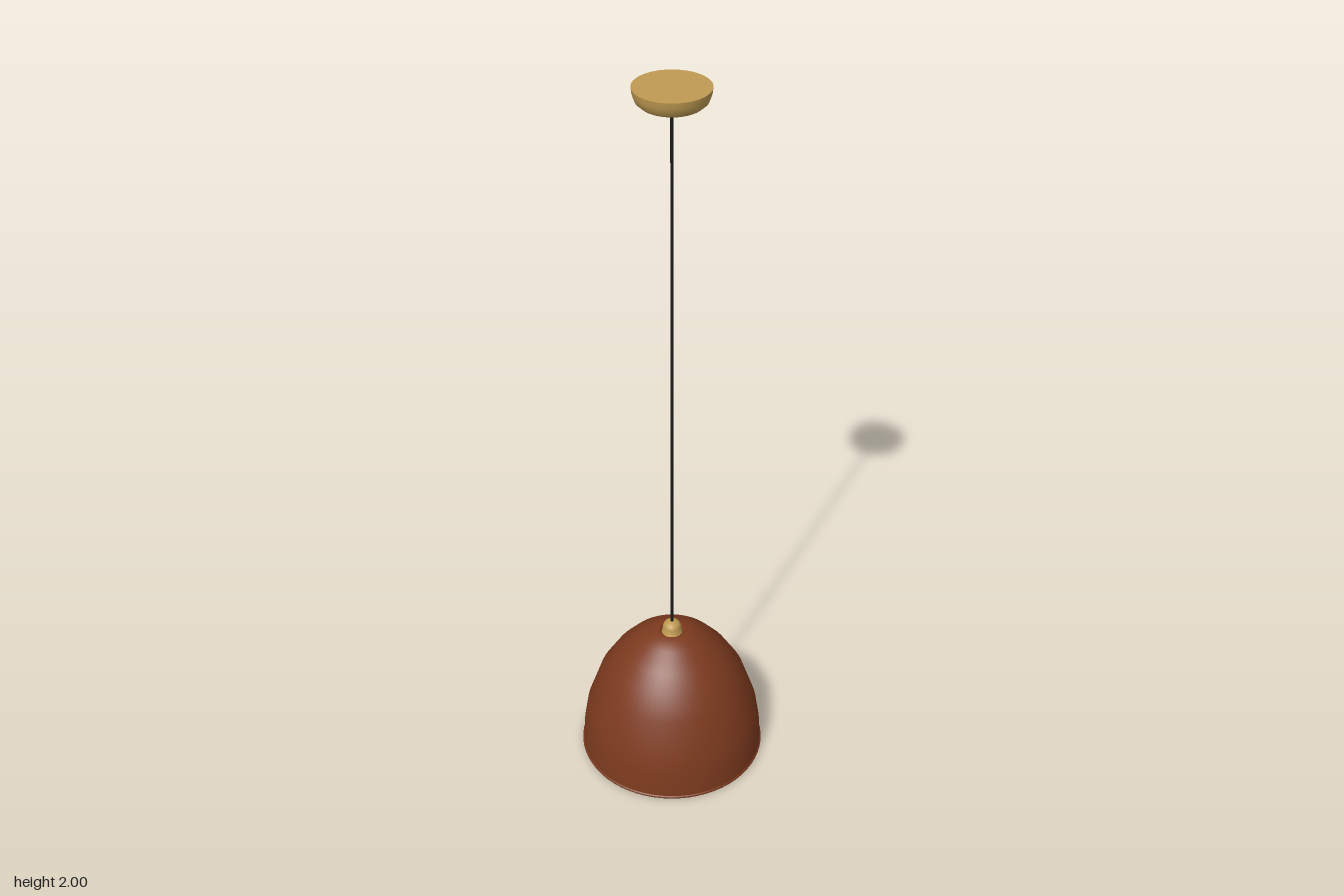
import * as THREE from 'three';

const material = (name, color, side = THREE.FrontSide) => {
  const m = new THREE.MeshStandardMaterial({ color, side });
  m.name = name;
  return m;
};

// Smooth surface of revolution through [radius, height] points
function lathe(name, points, mat, segments = 64) {
  const profile = points.map(([r, y]) => new THREE.Vector2(r, y));
  const mesh = new THREE.Mesh(new THREE.LatheGeometry(profile, segments), mat);
  mesh.name = name;
  return mesh;
}

export function createModel() {
  const model = new THREE.Group();
  model.name = 'pendantLamp';

  const terracotta = material('terracotta', 0x7c3a1e, THREE.DoubleSide);
  const brass = material('brass', 0xbf9a52, THREE.DoubleSide);
  const black = material('black', 0x1a1a1a);
  const glass = material('bulbWhite', 0xe8e6de);

  // Domed shade: outer and inner skins joined around the top hole
  const outer = [
    [0.252, 0.005], [0.248, 0.07], [0.238, 0.135], [0.203, 0.238],
    [0.165, 0.3], [0.128, 0.343], [0.08, 0.384], [0.048, 0.397], [0.034, 0.398],
  ];
  const inner = outer.map(([r, y], i) => [r - 0.006, i ? y - 0.006 : y]).reverse();
  const shade = new THREE.Group();
  shade.name = 'shade';
  shade.add(
    lathe('shadeOutside', outer, terracotta),
    lathe('shadeInside', inner, terracotta),
    lathe('shadeTopEdge', [outer.at(-1), inner[0]], terracotta),
  );

  // Rolled lip around the open rim
  const lip = new THREE.Mesh(new THREE.TorusGeometry(0.25, 0.005, 8, 64), terracotta);
  lip.name = 'shadeLip';
  lip.rotation.x = Math.PI / 2;
  lip.position.y = 0.005;
  shade.add(lip);
  model.add(shade);

  // Brass cord grip in the top of the shade
  model.add(lathe('cordGrip', [
    [0, 0.375], [0.034, 0.375], [0.034, 0.39], [0.025, 0.394],
    [0.025, 0.411], [0.021, 0.421], [0.012, 0.428], [0, 0.428],
  ], brass, 24));

  // Lamp holder and bulb under the dome
  model.add(lathe('lampHolder', [
    [0, 0.26], [0.03, 0.26], [0.03, 0.376], [0, 0.376],
  ], brass, 24));
  model.add(lathe('bulb', [
    [0, 0.127], [0.022, 0.131], [0.042, 0.143], [0.055, 0.162], [0.06, 0.185],
    [0.055, 0.209], [0.042, 0.231], [0.028, 0.25], [0.025, 0.265],
  ], glass, 32));

  // Hanging cord
  const cord = new THREE.Mesh(new THREE.CylinderGeometry(0.004, 0.004, 1.53, 12), black);
  cord.name = 'cord';
  cord.position.y = 0.42 + 1.53 / 2;
  model.add(cord);

  // Ceiling canopy: shallow tapered bowl with a flat top plate
  const canopy = new THREE.Group();
  canopy.name = 'ceilingCanopy';
  canopy.add(
    lathe('canopyBowl', [
      [0, 1.944], [0.04, 1.946], [0.075, 1.958], [0.086, 1.968], [0.092, 1.985], [0.094, 2],
    ], brass, 48),
    lathe('canopyTop', [[0.094, 2], [0, 2]], brass, 48),
  );
  model.add(canopy);

  return model;
}
